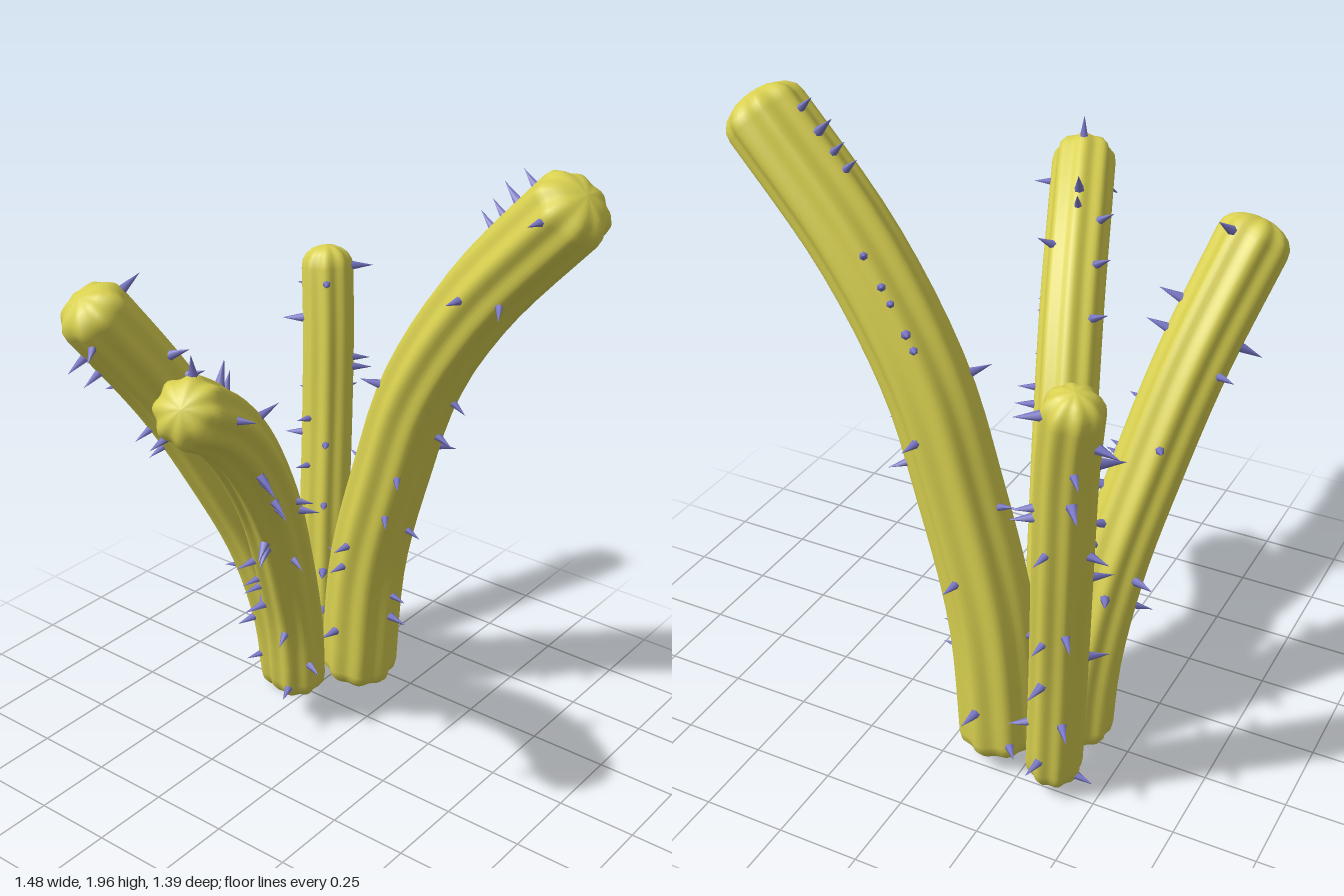
import * as THREE from 'three';

const skin = new THREE.MeshStandardMaterial({ color: 0xd8d050 });
const spineSkin = new THREE.MeshStandardMaterial({ color: 0x7a78c8 });
const RIBS = 8, AROUND = 64, BODY = 22;

// Each stem: centre line from base tip to top tip, base and top radius, spine count
const STEMS = [
  { name: 'frontStem', r: [0.128, 0.122], spines: 30, path: [
    [0.41, 0.03, -0.16], [0.397, 0.5, -0.115], [0.378, 0.9, -0.005], [0.362, 1.2, 0.1], [0.337, 1.54, 0.31], [0.312, 1.92, 0.65]] },
  { name: 'leftLeaningStem', r: [0.095, 0.1], spines: 28, path: [
    [0.13, 0.11, -0.2], [0.09, 0.4, -0.18], [0.02, 0.62, -0.155], [-0.1, 0.9, -0.11], [-0.31, 1.2, -0.03], [-0.5, 1.38, 0.04], [-0.72, 1.52, 0.125]] },
  { name: 'backStem', r: [0.1, 0.112], spines: 28, path: [
    [0.26, 0.01, -0.34], [0.23, 0.3, -0.35], [0.155, 0.6, -0.385], [0.025, 0.9, -0.44], [-0.12, 1.18, -0.5], [-0.36, 1.54, -0.6]] },
  { name: 'rightStem', r: [0.085, 0.085], spines: 26, path: [
    [0.465, 0.03, -0.355], [0.515, 0.5, -0.39], [0.575, 0.9, -0.425], [0.612, 1.2, -0.45], [0.648, 1.455, -0.485]] },
];

function seeded(seed) {
  return () => (seed = (seed * 16807) % 2147483647) / 2147483647;
}

// Point on a stem's ribbed wall at fraction u along it and angle a around it
function makeStemShape({ path, r }) {
  const curve = new THREE.CatmullRomCurve3(path.map(p => new THREE.Vector3(...p)));
  const length = curve.getLength();
  const lean = curve.getPoint(1).sub(curve.getPoint(0)).setY(0).normalize();
  const side = new THREE.Vector3(0, 1, 0).cross(lean).normalize();
  const capLength = 0.075;
  const at = (u, a) => {
    const tangent = curve.getTangentAt(u);
    const across = new THREE.Vector3().crossVectors(tangent, side).normalize();
    const across2 = new THREE.Vector3().crossVectors(tangent, across).normalize();
    const out = across.multiplyScalar(Math.cos(a)).addScaledVector(across2, Math.sin(a));
    const toEnd = Math.min(1, Math.min(u, 1 - u) * length / capLength);
    const cap = Math.pow(1 - Math.pow(1 - toEnd, 2.4), 0.5);
    const rib = 0.945 + 0.055 * Math.cos(a * RIBS);
    const radius = (r[0] + (r[1] - r[0]) * u) * cap * rib;
    return { point: curve.getPointAt(u).addScaledVector(out, radius), out, tangent };
  };
  return { at, capU: capLength / length };
}

// Ribbed skin: rings along the path, closed by rounded ends
function stemGeometry({ at, capU }) {
  const capSteps = [0, 0.04, 0.15, 0.35, 0.65].map(s => s * capU);
  const us = [...capSteps];
  for (let i = 0; i <= BODY; i++) us.push(capU + (1 - 2 * capU) * i / BODY);
  us.push(...capSteps.map(s => 1 - s).reverse());
  const pos = [], index = [];
  us.forEach((u, i) => {
    for (let j = 0; j < AROUND; j++) {
      pos.push(...at(u, j / AROUND * Math.PI * 2).point.toArray());
      if (i === us.length - 1) continue;
      const a = i * AROUND + j, b = i * AROUND + (j + 1) % AROUND;
      index.push(a, b, b + AROUND, a, b + AROUND, a + AROUND);
    }
  });
  const geo = new THREE.BufferGeometry();
  geo.setAttribute('position', new THREE.Float32BufferAttribute(pos, 3));
  geo.setIndex(index);
  geo.computeVertexNormals();
  return geo;
}

export function createModel() {
  const model = new THREE.Group();
  const spineGeo = new THREE.ConeGeometry(0.016, 0.075, 6).translate(0, 0.026, 0);
  const up = new THREE.Vector3(0, 1, 0);

  STEMS.forEach((spec, k) => {
    const group = new THREE.Group();
    group.name = spec.name;
    const shape = makeStemShape(spec);
    const body = new THREE.Mesh(stemGeometry(shape), skin);
    body.name = 'ribbedBody';
    group.add(body);

    // Spines scattered over the ribs, tilting outward over the top
    const rand = seeded(1201 + k * 377);
    for (let i = 0; i < spec.spines; i++) {
      const u = 0.04 + 0.945 * (i + rand() * 0.8) / spec.spines;
      const rib = Math.floor(rand() * RIBS);
      const { point, out, tangent } = shape.at(u, rib / RIBS * Math.PI * 2);
      const dir = out.clone().addScaledVector(tangent, u > 0.96 ? 0.8 : 0).normalize();
      const spine = new THREE.Mesh(spineGeo, spineSkin);
      spine.name = 'spine';
      spine.position.copy(point);
      spine.quaternion.setFromUnitVectors(up, dir);
      spine.scale.setScalar(0.8 + rand() * 0.3);
      group.add(spine);
    }
    model.add(group);
  });
  return model;
}
